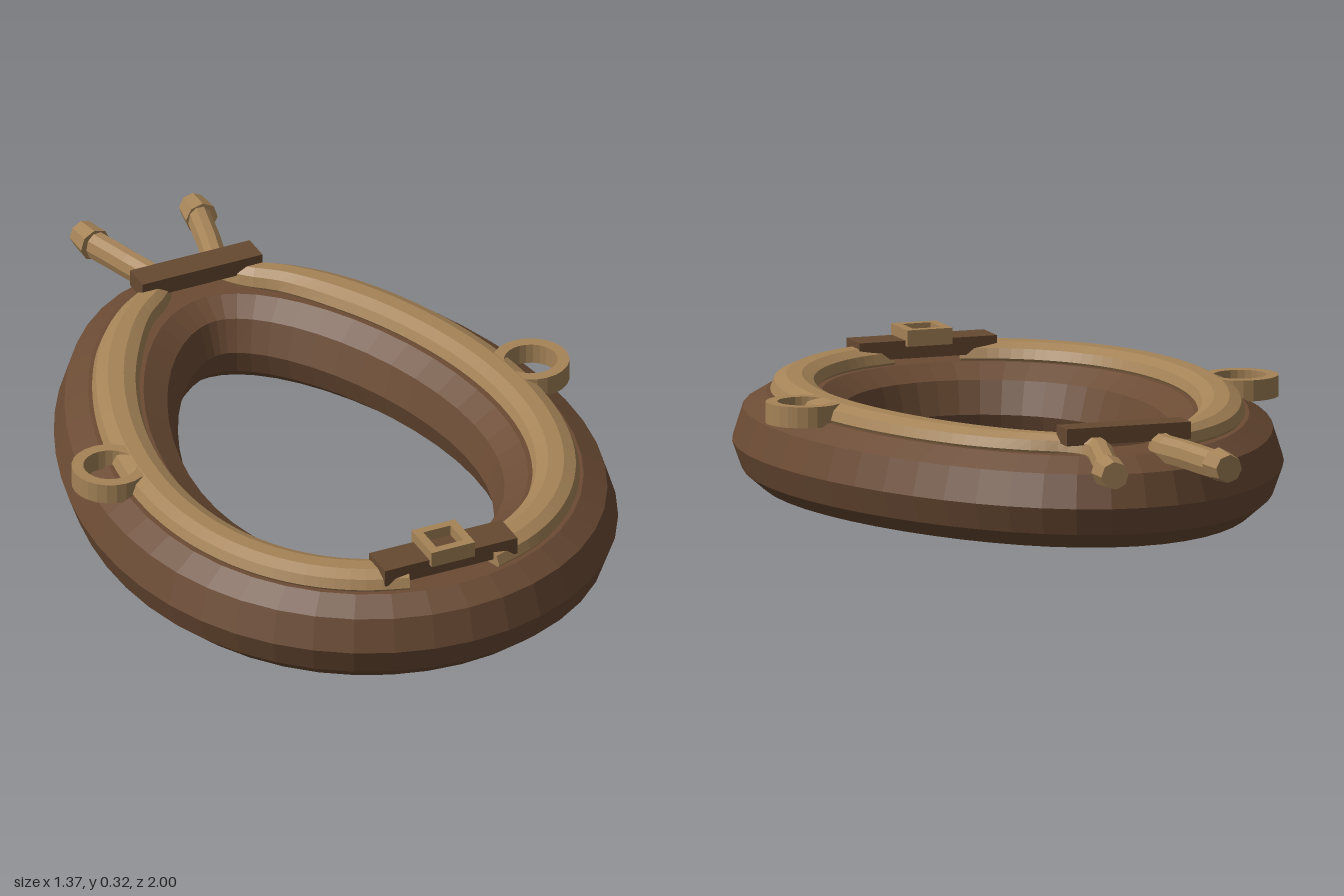
import * as THREE from 'three';

const leather = new THREE.MeshStandardMaterial({ color: 0x6b4b34 });
leather.name = 'brown leather';
const strapLeather = new THREE.MeshStandardMaterial({ color: 0x664931 });
strapLeather.name = 'strap leather';
const tan = new THREE.MeshStandardMaterial({ color: 0xa58357 });
tan.name = 'tan wood and brass';

// Egg-shaped centre line, t = 0 at the front, running round by the left side
function egg(t, y = 0) {
  return new THREE.Vector3(
    0.503 * Math.sin(t) * (1 + 0.18 * Math.cos(t)), y, 0.095 + 0.75 * Math.cos(t));
}

// Flat-shaded sweep of a [outward, up] profile along a path; sizes scale each section
function sweep(path, profile, closed, sizes) {
  const n = path.length, m = profile.length, pos = [], idx = [];
  path.forEach((p, i) => {
    const a = closed ? path[(i + n - 1) % n] : path[Math.max(i - 1, 0)];
    const b = closed ? path[(i + 1) % n] : path[Math.min(i + 1, n - 1)];
    const d = b.clone().sub(a).setY(0).normalize();
    const [w, h] = sizes ? sizes[i] : [1, 1];
    for (const [u, v] of profile) pos.push(p.x - d.z * u * w, p.y + v * h, p.z + d.x * u * w);
  });
  for (let i = 0; i < (closed ? n : n - 1); i++) {
    for (let j = 0; j < m; j++) {
      const k = (j + 1) % m, r = i * m, s = ((i + 1) % n) * m;
      idx.push(r + j, s + j, s + k, r + j, s + k, r + k);
    }
  }
  if (!closed) {
    const e = (n - 1) * m;
    for (let j = 1; j < m - 1; j++) idx.push(0, j, j + 1, e, e + j + 1, e + j);
  }
  const g = new THREE.BufferGeometry();
  g.setAttribute('position', new THREE.Float32BufferAttribute(pos, 3));
  g.setIndex(idx);
  const flat = g.toNonIndexed();
  flat.computeVertexNormals();
  return flat;
}

export function createModel() {
  const model = new THREE.Group();
  model.name = 'horseCollar';
  const add = (name, geo, mat, x = 0, y = 0, z = 0) => {
    const mesh = new THREE.Mesh(geo, mat);
    mesh.name = name;
    mesh.position.set(x, y, z);
    model.add(mesh);
    return mesh;
  };

  // Padded collar body
  const half = [[0.085, 0], [0.132, 0.04], [0.157, 0.11], [0.13, 0.195], [0.07, 0.232]];
  const pad = [...half, ...half.slice().reverse().map(([u, v]) => [-u, v])];
  const loop = [];
  for (let i = 0; i < 48; i++) loop.push(egg((i / 48) * Math.PI * 2));
  add('collarPad', sweep(loop, pad, true), leather);

  // Hames: one rail down each side, flaring out into horns at the back
  const rail = [[0.045, -0.03], [0.06, -0.008], [0.05, 0.017], [0.02, 0.031]];
  const railProfile = [...rail, ...rail.slice().reverse().map(([u, v]) => [-u, v])];
  const knots = [];
  for (let i = 0; i <= 14; i++) knots.push(egg(0.18 + (i / 14) * 2.46, 0.246));
  knots.push(
    new THREE.Vector3(0.125, 0.245, -0.625), new THREE.Vector3(0.088, 0.243, -0.69),
    new THREE.Vector3(0.112, 0.24, -0.8), new THREE.Vector3(0.147, 0.232, -0.94));
  const railPath = new THREE.CatmullRomCurve3(knots).getPoints(54);
  const railSizes = railPath.map((p, i) => {
    const k = i > 27 ? THREE.MathUtils.smoothstep(-p.z, 0.4, 0.75) : 0;
    return [1 - 0.47 * k, 1 + 0.05 * k];
  });
  const mirrored = railPath.map(p => new THREE.Vector3(-p.x, p.y, p.z)).reverse();
  add('leftHame', sweep(railPath, railProfile, false, railSizes), tan);
  add('rightHame', sweep(mirrored, railProfile, false, railSizes.slice().reverse()), tan);

  // Flat ring section for the side rings
  const ringSection = [[0.068, -0.027], [0.098, -0.027], [0.098, 0.027], [0.068, 0.027], [0.068, -0.027]]
    .map(([r, y]) => new THREE.Vector2(r, y));

  for (const s of [1, -1]) {
    const side = s > 0 ? 'left' : 'right';
    // Knob on the horn tip
    const knobGeo = new THREE.CylinderGeometry(0.036, 0.043, 0.07, 8).toNonIndexed();
    knobGeo.computeVertexNormals();
    const knob = add(side + 'HornKnob', knobGeo, tan, s * 0.151, 0.231, -0.961);
    knob.quaternion.setFromUnitVectors(
      new THREE.Vector3(0, 1, 0), new THREE.Vector3(s * 0.08, -0.03, -1).normalize());
    // Rein ring
    const ringGeo = new THREE.LatheGeometry(ringSection, 24).toNonIndexed();
    ringGeo.computeVertexNormals();
    add(side + 'Ring', ringGeo, tan, s * 0.588, 0.249, 0.093);
  }

  // Straps joining the two hames
  add('backStrap', new THREE.BoxGeometry(0.335, 0.044, 0.075), strapLeather, 0, 0.279, -0.645);
  add('frontStrap', new THREE.BoxGeometry(0.37, 0.046, 0.095), strapLeather, 0, 0.27, 0.822);

  // Square buckle frame on the front strap
  const frame = new THREE.Shape([[-1, -1], [1, -1], [1, 1], [-1, 1]]
    .map(([x, y]) => new THREE.Vector2(x * 0.061, y * 0.06)));
  frame.holes.push(new THREE.Path([[-1, -1], [-1, 1], [1, 1], [1, -1]]
    .map(([x, y]) => new THREE.Vector2(x * 0.038, y * 0.038))));
  const buckle = new THREE.ExtrudeGeometry(frame, { depth: 0.042, bevelEnabled: false });
  buckle.rotateX(-Math.PI / 2);
  add('buckle', buckle, tan, 0, 0.279, 0.822);

  return model;
}
